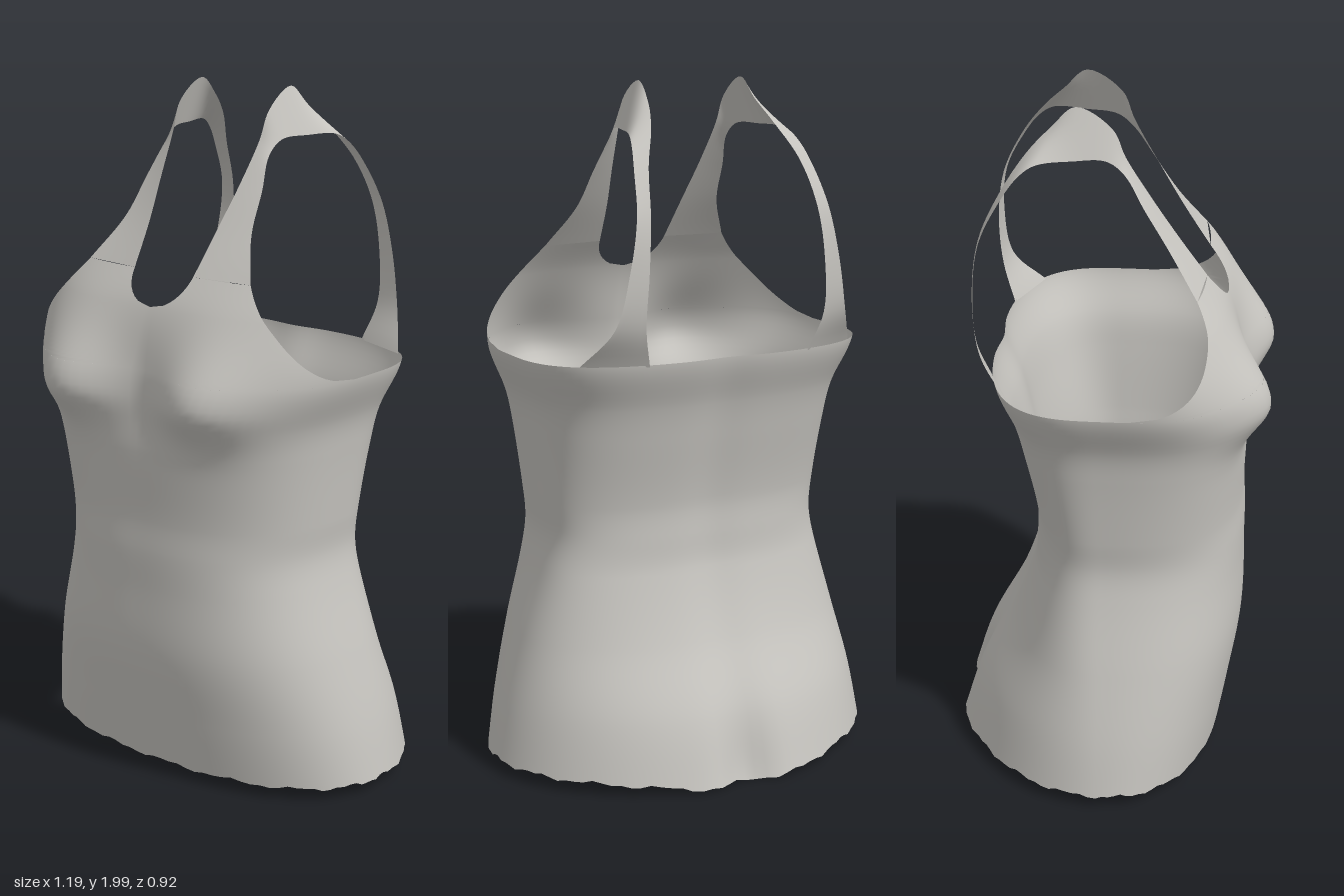
import * as THREE from 'three';

// Cross-sections: height, half width, front depth, back depth, front and back squareness
const SECTIONS = [
  [0.0, 0.605, 0.335, 0.475, 2.3, 1.9],
  [0.2, 0.565, 0.37, 0.405, 2.4, 2.0],
  [0.4, 0.51, 0.4, 0.295, 2.5, 2.2],
  [0.6, 0.45, 0.4, 0.225, 2.6, 2.5],
  [0.7, 0.43, 0.4, 0.215, 2.65, 2.55],
  [0.8, 0.438, 0.395, 0.215, 2.7, 2.6],
  [1.0, 0.458, 0.4, 0.255, 3.0, 2.8],
  [1.1, 0.475, 0.39, 0.28, 3.2, 2.9],
  [1.24, 0.53, 0.375, 0.33, 3.4, 3.0],
  [1.41, 0.53, 0.335, 0.33, 3.0, 3.0],
  [1.55, 0.5, 0.24, 0.33, 3.0, 3.0],
];
const ARMHOLE = [[1.24, 0.529], [1.28, 0.5], [1.37, 0.42], [1.43, 0.36], [1.5, 0.3], [1.56, 0.26]];
const SEAM = 1.24, YOKE_TOP = 1.5, NECK = 1.41;

// Smooth interpolation of one column of a table
function lookup(table, y, k) {
  const last = table.length - 1;
  let i = 0;
  while (i < last - 1 && y > table[i + 1][0]) i++;
  const slope = (j) => {
    const a = table[Math.max(j - 1, 0)], b = table[Math.min(j + 1, last)];
    return (b[k] - a[k]) / (b[0] - a[0]);
  };
  const h = table[i + 1][0] - table[i][0];
  const t = Math.min(Math.max((y - table[i][0]) / h, 0), 1);
  const t2 = t * t, t3 = t2 * t;
  return (2 * t3 - 3 * t2 + 1) * table[i][k] + (t3 - 2 * t2 + t) * h * slope(i)
    + (3 * t2 - 2 * t3) * table[i + 1][k] + (t3 - t2) * h * slope(i + 1);
}

const bell = (d, s) => Math.exp(-(d / s) * (d / s));

// Point on the body surface; angle 0 is the front, growing toward +x
function surface(a, y) {
  const s = Math.sin(a), c = Math.cos(a), front = c > 0;
  const n = lookup(SECTIONS, y, front ? 4 : 5);
  const r = Math.pow(Math.pow(Math.abs(s), n) + Math.pow(Math.abs(c), n), -1 / n);
  const x = lookup(SECTIONS, y, 1) * r * s;
  let z = lookup(SECTIONS, y, front ? 2 : 3) * r * c;
  if (front) {
    // Bust fullness
    z += 0.095 * bell(Math.abs(x) - 0.25, 0.16) * bell(y - 1.17, y > 1.17 ? 0.16 : 0.1) * Math.min(1, c * 2);
  } else {
    // Groove down the back, deeper at the seat
    z += bell(x, 0.08) * (0.012 + 0.04 * bell(y, 0.2));
  }
  return new THREE.Vector3(x, y, z);
}

function surfaceNormal(a, y) {
  const e = 0.004;
  const du = surface(a + e, y).sub(surface(a - e, y));
  const dv = surface(a, y + e).sub(surface(a, y - e));
  return du.cross(dv).normalize();
}

// Angle at which the front surface reaches a given x
function angleAt(x, y) {
  const n = lookup(SECTIONS, y, 4);
  const q = Math.min(x / lookup(SECTIONS, y, 1), 0.9999);
  return Math.atan2(q, Math.pow(1 - Math.pow(q, n), 1 / n));
}

// Grid of points; at(u, v) returns { p, n } with an optional normal
function sheet(cols, rows, at) {
  const pos = [], nor = [], index = [];
  for (let j = 0; j <= rows; j++) {
    for (let i = 0; i <= cols; i++) {
      const { p, n } = at(i / cols, j / rows);
      pos.push(p.x, p.y, p.z);
      if (n) nor.push(n.x, n.y, n.z);
      if (i < cols && j < rows) {
        const k = j * (cols + 1) + i, m = k + cols + 1;
        index.push(k, k + 1, m + 1, k, m + 1, m);
      }
    }
  }
  const g = new THREE.BufferGeometry();
  g.setAttribute('position', new THREE.Float32BufferAttribute(pos, 3));
  g.setIndex(index);
  if (nor.length) g.setAttribute('normal', new THREE.Float32BufferAttribute(nor, 3));
  else g.computeVertexNormals();
  return g;
}

const onBody = (a, y) => ({ p: surface(a, y), n: surfaceNormal(a, y) });

// Slightly ragged hem, dipping at the back
function hem(a) {
  const ragged = 0.004 * Math.sin(a * 17) + 0.003 * Math.sin(a * 41 + 1);
  return 0.044 + ragged - 0.034 * bell(a - Math.PI, 0.45);
}

const neckX = (y) => {
  const t = Math.min(Math.max((y - NECK) / 0.1, 0), 1);
  return 0.11 * Math.sqrt(1 - (1 - t) * (1 - t));
};

function yoke(side) {
  return sheet(24, 26, (u, v) => {
    const y = SEAM + (YOKE_TOP - SEAM) * v;
    const a0 = angleAt(neckX(y), y), a1 = angleAt(lookup(ARMHOLE, y, 1), y);
    const t = side > 0 ? u : 1 - u;
    return onBody(side * (a0 + (a1 - a0) * t), y);
  });
}

// Strap edges, running from the chest over the shoulder to the back
function strap(side) {
  const V = (x, y, z) => new THREE.Vector3(x, y, z);
  const inner = new THREE.CatmullRomCurve3([
    surface(angleAt(neckX(YOKE_TOP), YOKE_TOP), YOKE_TOP),
    V(0.125, 1.62, 0.195), V(0.145, 1.74, 0.12), V(0.16, 1.86, 0.05), V(0.165, 1.94, 0.015),
    V(0.165, 2.0, -0.085), V(0.17, 1.945, -0.15), V(0.195, 1.88, -0.215), V(0.24, 1.78, -0.285),
    V(0.265, 1.65, -0.345), V(0.28, 1.5, -0.365), V(0.285, 1.35, -0.355), V(0.255, 1.235, -0.318),
  ]);
  const outer = new THREE.CatmullRomCurve3([
    surface(angleAt(0.3, YOKE_TOP), YOKE_TOP),
    V(0.235, 1.62, 0.175), V(0.215, 1.73, 0.105), V(0.195, 1.82, 0.05), V(0.2, 1.86, 0.0),
    V(0.22, 1.865, -0.09), V(0.25, 1.86, -0.19), V(0.265, 1.83, -0.235), V(0.282, 1.77, -0.28),
    V(0.305, 1.65, -0.34), V(0.335, 1.5, -0.355), V(0.37, 1.35, -0.335), V(0.44, 1.235, -0.246),
  ]);
  return sheet(6, 72, (u, v) => {
    const p = inner.getPoint(v).lerp(outer.getPoint(v), side > 0 ? u : 1 - u);
    p.x *= side;
    return { p };
  });
}

export function createModel() {
  const group = new THREE.Group();
  group.name = 'tankTop';
  const cloth = new THREE.MeshStandardMaterial({ color: 0xc6c4bf });
  cloth.name = 'warmGreyCloth';
  cloth.side = THREE.DoubleSide;
  const add = (name, geometry) => {
    const mesh = new THREE.Mesh(geometry, cloth);
    mesh.name = name;
    group.add(mesh);
  };

  // Body tube from hem to underarm
  add('body', sheet(120, 60, (u, v) => {
    const a = u * Math.PI * 2, y0 = hem(a);
    return onBody(a, y0 + (SEAM - y0) * v);
  }));

  // Chest panels and shoulder straps
  for (const [side, word] of [[1, 'left'], [-1, 'right']]) {
    add(word + 'ChestPanel', yoke(side));
    add(word + 'Strap', strap(side));
  }
  return group;
}
